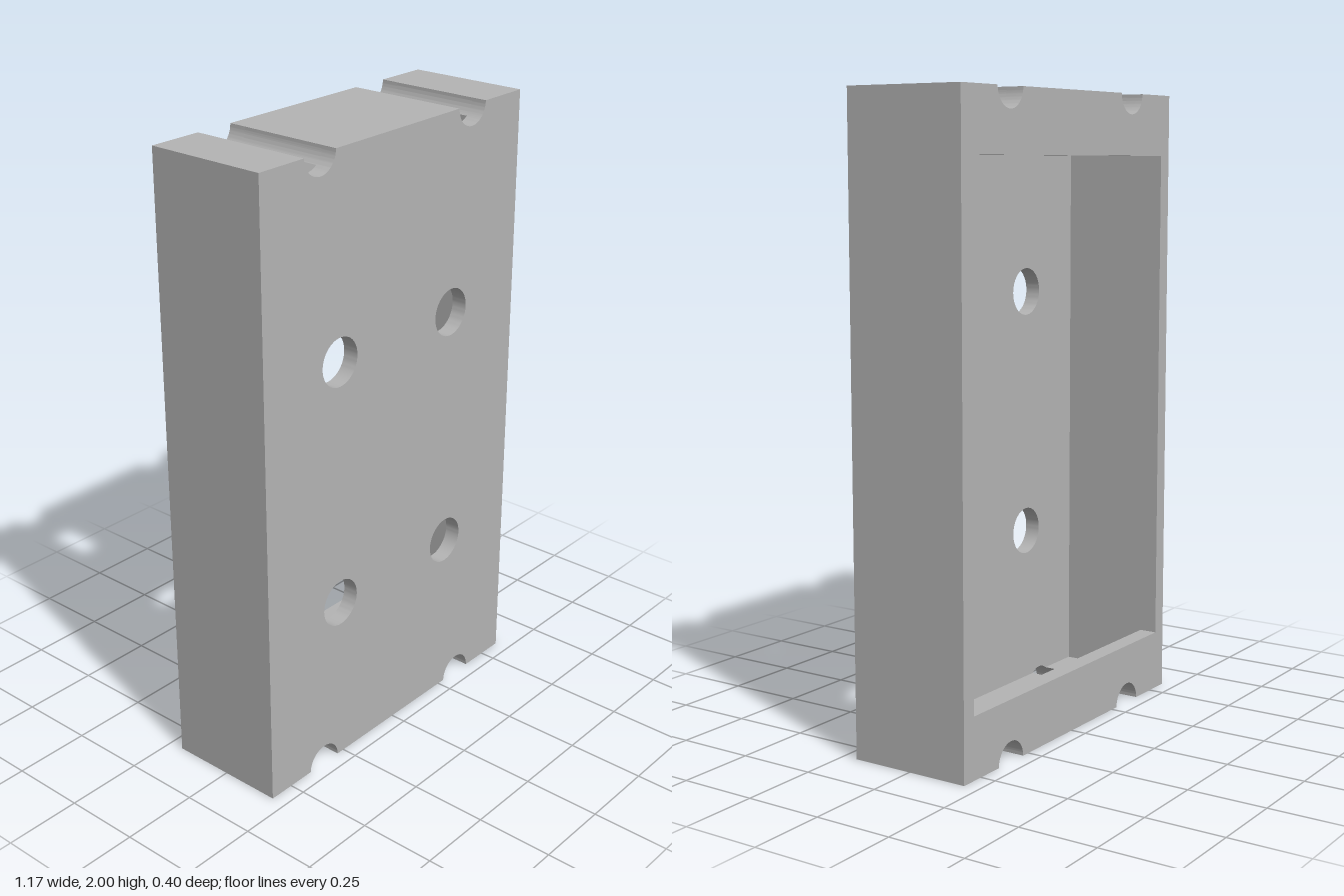
import * as THREE from 'three';
import { toCreasedNormals } from 'three/addons/utils/BufferGeometryUtils.js';

const W = 0.585, H = 2, FRONT = 0.2, BACK = -0.2; // outer box
const GX = 0.343, R = 0.065;                      // edge grooves
const INNER = 0.535, WALL = 0.051;                // cavity half width, end wall thickness
const LIP_Z = -0.142, PLATE_Z = 0.149;            // cavity depth range
const A = Math.asin(WALL / R), HALF = R * Math.cos(A); // where a groove breaks into the cavity

export function createModel() {
  const model = new THREE.Group();
  const grey = new THREE.MeshStandardMaterial({ color: 0xb4b4b4 });
  grey.name = 'grey';

  const add = (name, shape, z0, z1) => {
    const geo = new THREE.ExtrudeGeometry(shape, { depth: z1 - z0, bevelEnabled: false, curveSegments: 32 });
    geo.translate(0, 0, z0);
    const mesh = new THREE.Mesh(toCreasedNormals(geo, 0.6), grey);
    mesh.name = name;
    model.add(mesh);
    return mesh;
  };
  // half turn about the middle of the block
  const turn = (mesh) => {
    mesh.rotation.z = Math.PI;
    mesh.position.y = H;
  };

  // full outline with two round notches at each end
  const outline = () => {
    const s = new THREE.Shape();
    s.moveTo(-W, 0);
    for (const x of [-GX, GX]) {
      s.lineTo(x - R, 0);
      s.absarc(x, 0, R, Math.PI, 0, true);
    }
    s.lineTo(W, 0);
    s.lineTo(W, H);
    for (const x of [GX, -GX]) {
      s.lineTo(x + R, H);
      s.absarc(x, H, R, 0, Math.PI, true);
    }
    s.lineTo(-W, H);
    s.closePath();
    return s;
  };

  // front plate with four round holes
  const plate = outline();
  for (const x of [-0.262, 0.262]) {
    for (const y of [0.558, 1.363]) {
      plate.holes.push(new THREE.Path().absarc(x, y, 0.077, 0, Math.PI * 2, true));
    }
  }
  add('frontPlate', plate, PLATE_Z, FRONT);

  // back rim around the rectangular opening
  const rim = outline();
  rim.holes.push(new THREE.Path([
    new THREE.Vector2(-INNER, 0.195), new THREE.Vector2(-INNER, 1.805),
    new THREE.Vector2(INNER, 1.805), new THREE.Vector2(INNER, 0.195),
  ]));
  add('backRim', rim, BACK, LIP_Z);

  // side walls, wrapping round the corners as far as the groove slots
  const side = new THREE.Shape();
  side.moveTo(W, 0);
  side.lineTo(W, H);
  side.lineTo(GX + R, H);
  side.absarc(GX, H, R, 0, -A, true);
  side.lineTo(INNER, H - WALL);
  side.lineTo(INNER, WALL);
  side.lineTo(GX + HALF, WALL);
  side.absarc(GX, 0, R, A, 0, true);
  side.closePath();
  add('leftWall', side, LIP_Z, PLATE_Z);
  turn(add('rightWall', side, LIP_Z, PLATE_Z));

  // end walls between the two slots
  const end = new THREE.Shape();
  end.moveTo(-GX + HALF, H - WALL);
  end.absarc(-GX, H, R, -A, 0, false);
  end.lineTo(GX - R, H);
  end.absarc(GX, H, R, Math.PI, Math.PI + A, false);
  end.closePath();
  add('topWall', end, LIP_Z, PLATE_Z);
  turn(add('bottomWall', end, LIP_Z, PLATE_Z));

  return model;
}
